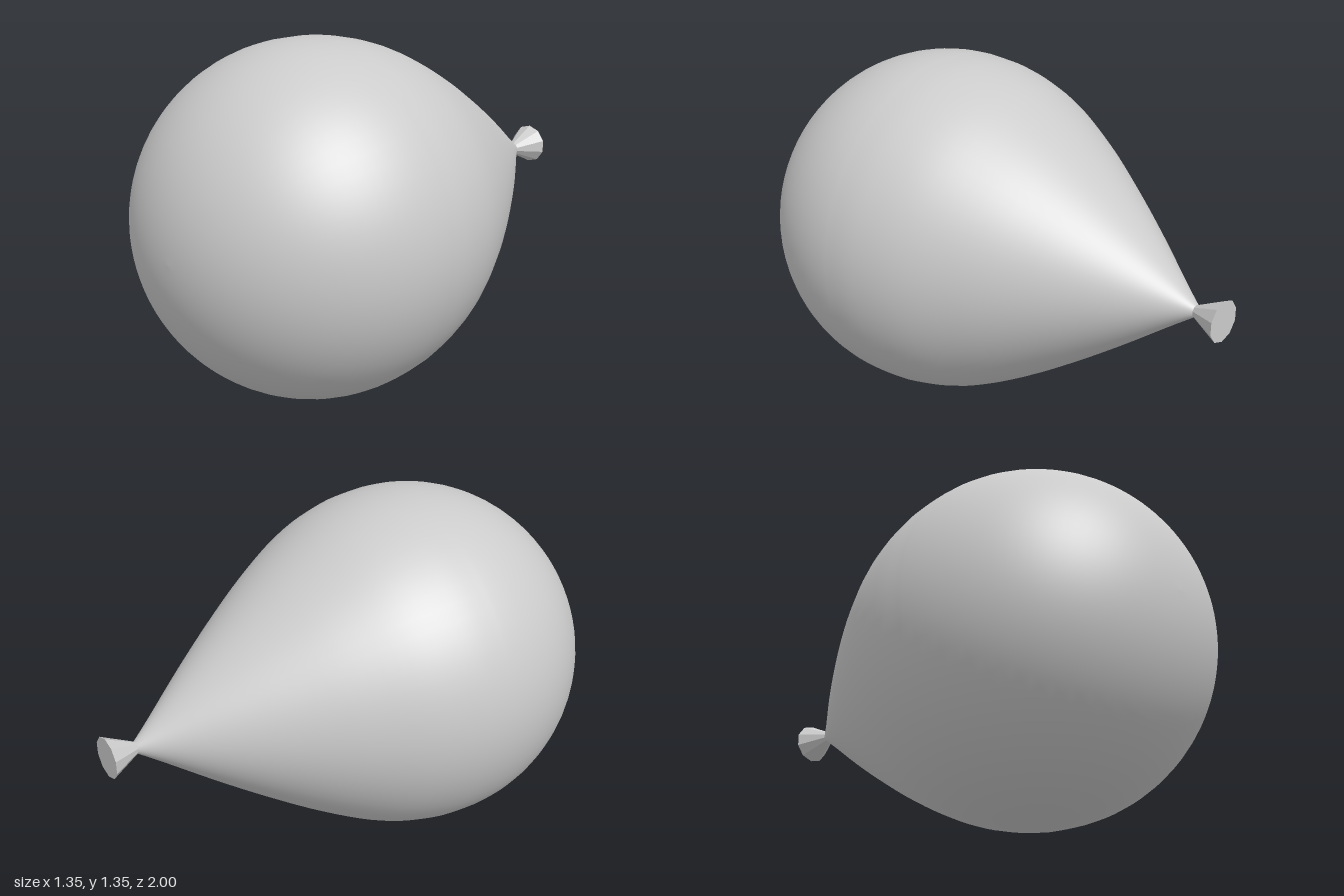
import * as THREE from 'three';

const AXIS_Y = 0.68;   // height of the balloon's long axis
const RADIUS = 0.675;  // widest radius
const CENTRE_Z = 0.325; // where the round front begins

// Profile as (radius, z), from the neck to the round nose
function balloonProfile() {
  const taper = new THREE.SplineCurve([
    [0.02, -0.89], [0.085, -0.8], [0.235, -0.6], [0.376, -0.4],
    [0.505, -0.2], [0.61, 0], [0.663, 0.18], [RADIUS, CENTRE_Z],
  ].map(([r, z]) => new THREE.Vector2(r, z)));
  const points = taper.getPoints(32);
  const steps = 24;
  for (let i = 1; i <= steps; i++) {
    const a = (i / steps) * Math.PI / 2;
    points.push(new THREE.Vector2(Math.max(0, RADIUS * Math.cos(a)), CENTRE_Z + RADIUS * Math.sin(a)));
  }
  return points;
}

export function createModel() {
  const group = new THREE.Group();
  group.name = 'balloon';

  // Smooth inflated body, turned about the z axis
  const bodyGeometry = new THREE.LatheGeometry(balloonProfile(), 64);
  bodyGeometry.rotateX(Math.PI / 2);
  const body = new THREE.Mesh(bodyGeometry, new THREE.MeshStandardMaterial({ color: 0xcccccc }));
  body.name = 'body';
  body.position.y = AXIS_Y;
  group.add(body);

  // Faceted flared knot with a flat end
  const knotGeometry = new THREE.CylinderGeometry(0.02, 0.08, 0.12, 10);
  knotGeometry.rotateX(Math.PI / 2);
  const knot = new THREE.Mesh(knotGeometry, new THREE.MeshStandardMaterial({ color: 0xcccccc, flatShading: true }));
  knot.name = 'knot';
  knot.position.set(0, AXIS_Y, -0.94);
  group.add(knot);

  return group;
}
